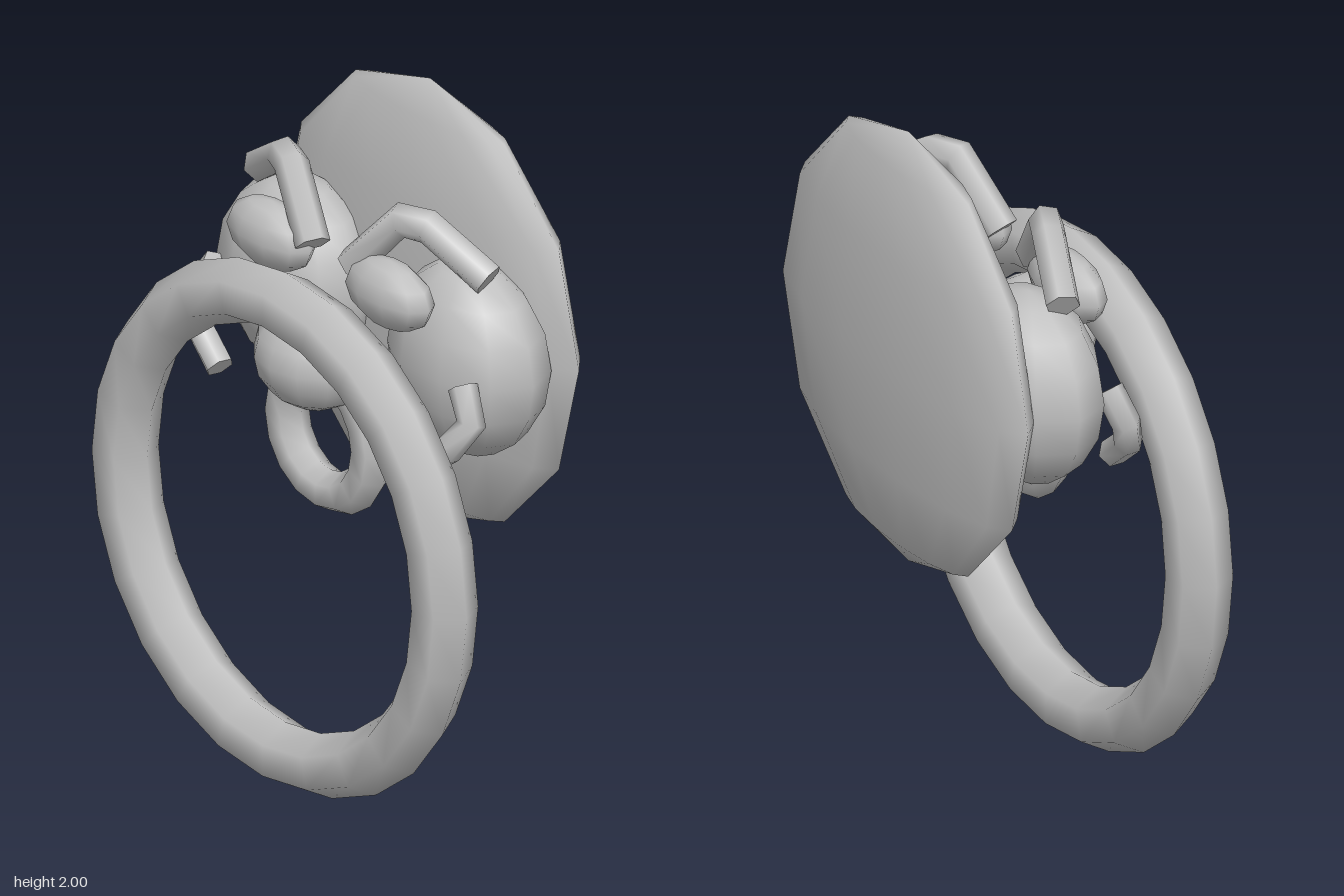
import * as THREE from 'three';
import { mergeGeometries } from 'three/addons/utils/BufferGeometryUtils.js';

const metal = new THREE.MeshStandardMaterial({ color: 0xc0c0c0 });
metal.name = 'silver grey';

// Low-poly tube whose rings sit exactly on the given points, with closed ends
function cappedTube(points, radius, sides) {
  const curve = new THREE.CatmullRomCurve3(points.map((p) => new THREE.Vector3(...p)));
  curve.getPointAt = curve.getPoint;
  curve.getTangentAt = curve.getTangent;
  const rings = points.length - 1;
  const tube = new THREE.TubeGeometry(curve, rings, radius, sides, false);
  const cap = (ring, flip) => {
    const start = ring * (sides + 1);
    const pos = tube.attributes.position.array.slice(start * 3, (start + sides) * 3);
    const g = new THREE.BufferGeometry();
    g.setAttribute('position', new THREE.BufferAttribute(pos, 3));
    g.setAttribute('uv', new THREE.BufferAttribute(new Float32Array(sides * 2), 2));
    const index = [];
    for (let j = 1; j < sides - 1; j++) index.push(0, flip ? j + 1 : j, flip ? j : j + 1);
    g.setIndex(index);
    g.computeVertexNormals();
    return g;
  };
  return mergeGeometries([tube, cap(0, false), cap(rings, true)]);
}

export function createModel() {
  const model = new THREE.Group();
  model.name = 'doorKnocker';

  const add = (name, geometry, x = 0, y = 0, z = 0) => {
    const mesh = new THREE.Mesh(geometry, metal);
    mesh.name = name;
    mesh.position.set(x, y, z);
    model.add(mesh);
    return mesh;
  };
  const ellipsoid = (name, center, radii, around, down) =>
    add(name, new THREE.SphereGeometry(1, around, down).scale(...radii), ...center);

  // Domed back plate
  ellipsoid('backPlate', [0, 1.335, -0.237], [0.64, 0.665, 0.133], 14, 6);

  // Face halves
  for (const [side, s] of [['left', 1], ['right', -1]]) {
    const mirror = (points) => points.map(([x, y, z]) => [x * s, y, z]);
    ellipsoid(side + 'Cheek', [0.367 * s, 1.335, -0.07], [0.275, 0.287, 0.187], 10, 8);
    ellipsoid(side + 'Eye', [0.255 * s, 1.543, 0.122], [0.17, 0.1, 0.08], 10, 6);
    // Arched eyebrow, from temple to nose bridge
    add(side + 'Brow', cappedTube(mirror([
      [0.492, 1.62, -0.035], [0.31, 1.738, 0.03], [0.235, 1.742, 0.065], [0.085, 1.568, 0.115],
    ]), 0.05, 6));
    // Curled mouth corner
    add(side + 'MouthCurl', cappedTube(mirror([
      [0.425, 1.085, 0.165], [0.535, 1.17, 0.15], [0.59, 1.26, 0.11], [0.53, 1.345, 0.09],
    ]), 0.042, 6));
  }

  // Nose
  ellipsoid('nose', [0, 1.283, 0.185], [0.185, 0.153, 0.158], 12, 8);

  // Small ring under the nose and large knocker ring
  add('mouthRing', new THREE.TorusGeometry(0.185, 0.062, 6, 16), 0, 1.037, 0.125);
  add('knockerRing', new THREE.TorusGeometry(0.687, 0.094, 6, 24), 0, 0.784, 0.287);

  return model;
}
